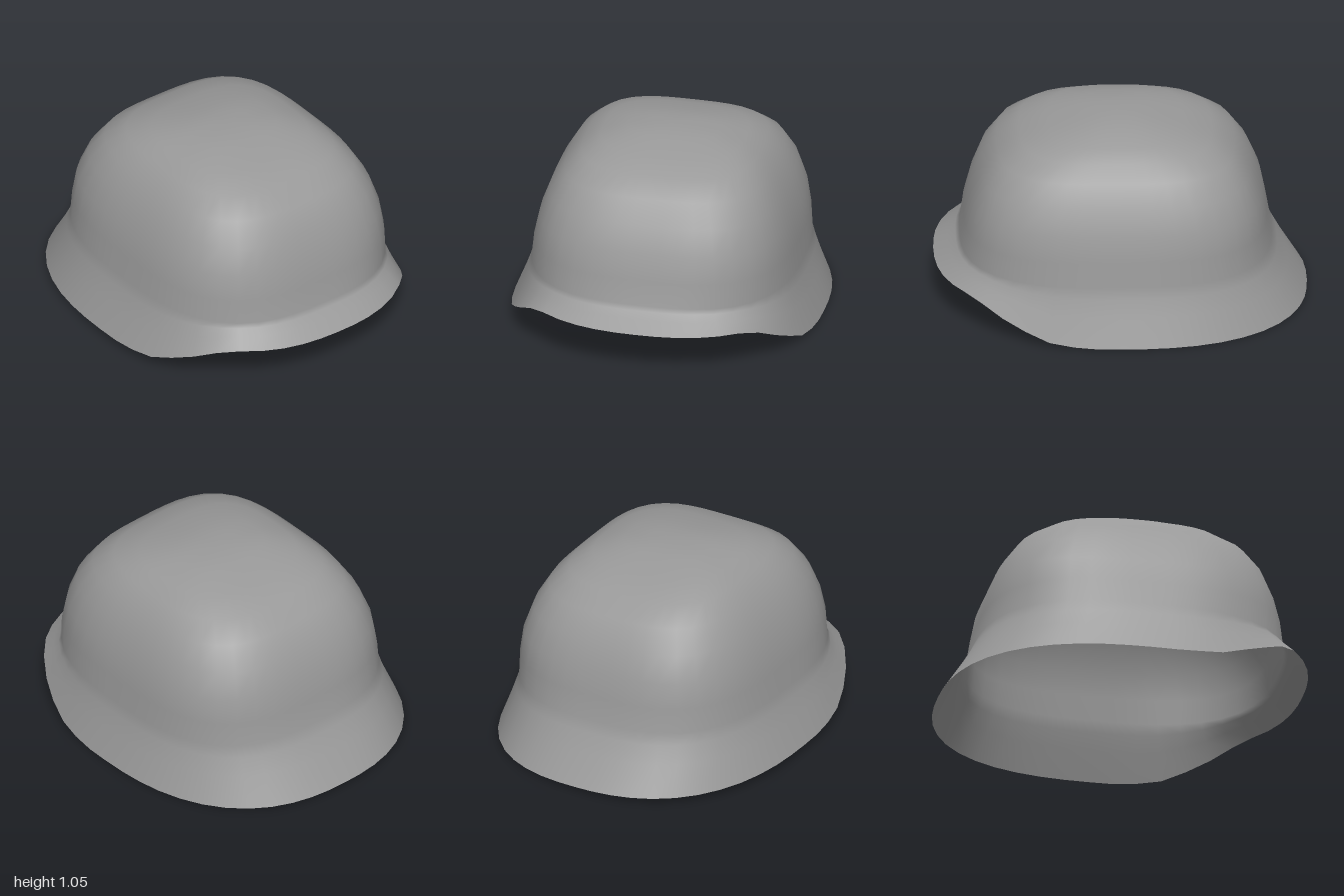
import * as THREE from 'three';
import { mergeVertices } from 'three/addons/utils/BufferGeometryUtils.js';

const SEGMENTS = 48;
const TILT = 0.024; // the shell leans slightly to one side

// Dome sections, top to bottom: [height, half width, front z, back z, squareness]
const DOME = [
  [1.05, 0, 0.02, 0.02, 2.5],
  [1.047, 0.12, 0.12, -0.08, 2.5],
  [1.036, 0.25, 0.22, -0.17, 2.7],
  [1.0, 0.385, 0.39, -0.34, 3],
  [0.95, 0.475, 0.54, -0.49, 3.2],
  [0.87, 0.555, 0.66, -0.61, 3.3],
  [0.75, 0.625, 0.745, -0.695, 3.3],
  [0.61, 0.675, 0.8, -0.755, 3.2],
  [0.47, 0.705, 0.84, -0.785, 3],
  [0.335, 0.72, 0.86, -0.81, 2.8],
];

// Height of the rim edge along z: low at back and sides, raised over the face
const RIM = [[-1, 0.02], [0.2, 0.022], [0.4, 0.047], [0.6, 0.125], [0.76, 0.205], [0.84, 0.225], [1, 0.225]];

function rimHeight(z) {
  for (let i = 1; i < RIM.length; i++) {
    const [z0, y0] = RIM[i - 1], [z1, y1] = RIM[i];
    if (z <= z1) return THREE.MathUtils.lerp(y0, y1, (z - z0) / (z1 - z0));
  }
  return RIM[RIM.length - 1][1];
}

// Closed rounded-rectangle section
function section([y, halfWidth, front, back, n]) {
  return Array.from({ length: SEGMENTS }, (_, j) => {
    const a = (j / SEGMENTS) * Math.PI * 2;
    const c = Math.cos(a), s = Math.sin(a);
    const r = Math.pow(Math.abs(c) ** n + Math.abs(s) ** n, -1 / n);
    return new THREE.Vector3(halfWidth * r * c, y, (front + back) / 2 + ((front - back) / 2) * r * s);
  });
}

// Skin through rings ordered from top to bottom, leaning by the tilt
function loft(rings) {
  const positions = [], index = [];
  rings.forEach((ring, i) => ring.forEach((p, j) => {
    positions.push(p.x + TILT * (p.y - 0.1), p.y - TILT * p.x, p.z);
    if (i === rings.length - 1) return;
    const k = (j + 1) % SEGMENTS;
    const a = i * SEGMENTS + j, b = a + SEGMENTS;
    const a1 = i * SEGMENTS + k, b1 = a1 + SEGMENTS;
    if (i > 0) index.push(a, a1, b1);
    index.push(b, a, b1);
  }));
  const geometry = new THREE.BufferGeometry();
  geometry.setAttribute('position', new THREE.Float32BufferAttribute(positions, 3));
  geometry.setIndex(index);
  const merged = mergeVertices(geometry, 1e-5);
  merged.computeVertexNormals();
  return merged;
}

export function createModel() {
  const group = new THREE.Group();
  group.name = 'helmet';

  // Dome
  const rings = DOME.map(section);
  const ridge = rings[rings.length - 1];

  // Flared brim, from the ridge out to the cut rim edge
  const rim = section([0, 0.832, 1, -1, 2.42]);
  rim.forEach((p) => { p.y = rimHeight(p.z); });
  for (const t of [0.2, 0.5, 1]) {
    rings.push(ridge.map((p, j) => {
      const out = Math.pow(t, 1.15);
      return new THREE.Vector3(
        THREE.MathUtils.lerp(p.x, rim[j].x, out),
        THREE.MathUtils.lerp(p.y, rim[j].y, t),
        THREE.MathUtils.lerp(p.z, rim[j].z, out),
      );
    }));
  }

  const material = new THREE.MeshStandardMaterial({ color: 0x999999, side: THREE.DoubleSide });
  const shell = new THREE.Mesh(loft(rings), material);
  shell.name = 'helmetShell';
  group.add(shell);
  return group;
}
